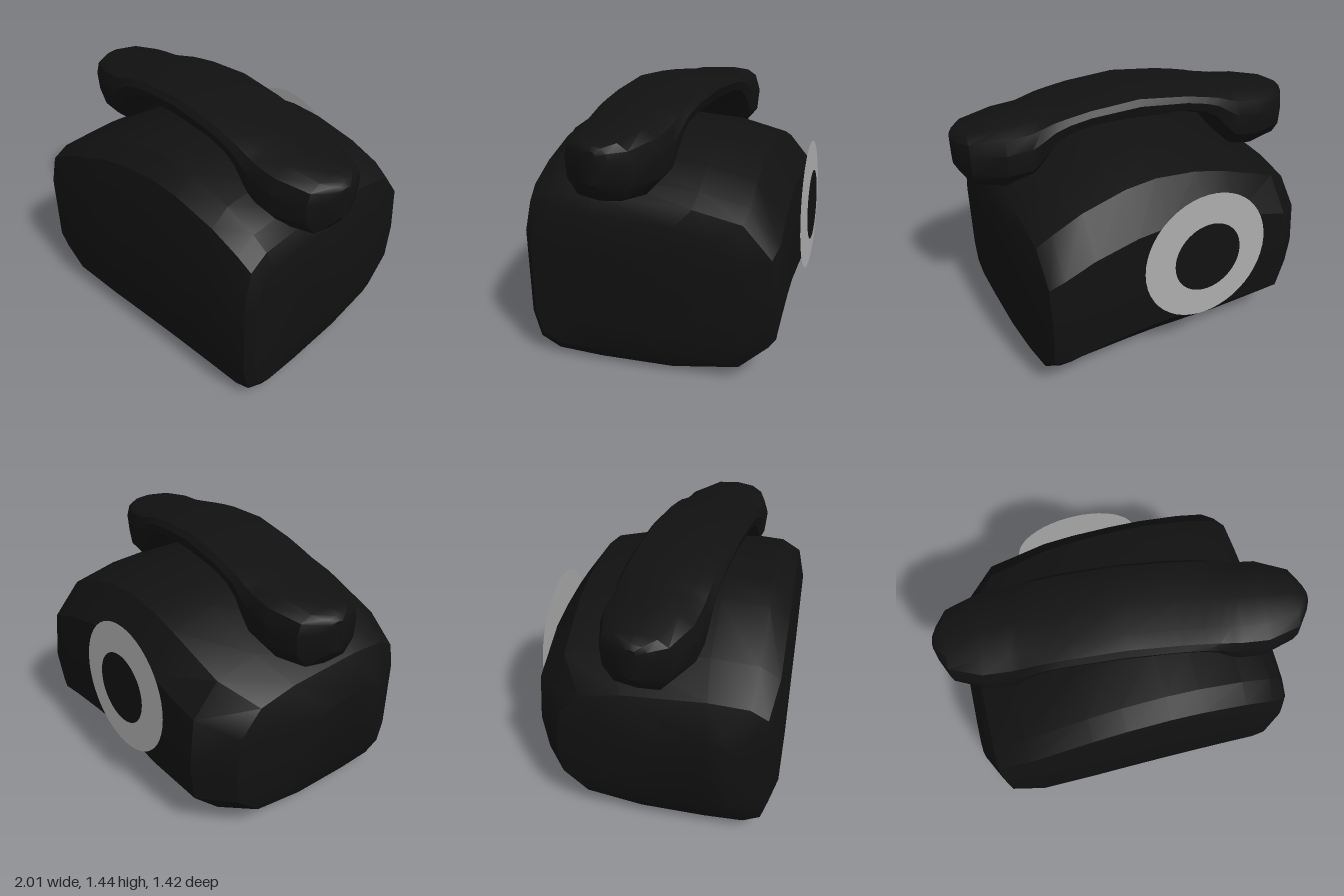
import * as THREE from 'three';
import { toCreasedNormals } from 'three/addons/utils/BufferGeometryUtils.js';

// Loft along x: profile is [z in -1..1, y in 0..1], stations are [x, y0, y1, z0, z1]
function loft(profile, stations) {
  const n = profile.length, pos = [], idx = [];
  for (const [x, y0, y1, z0, z1] of stations) {
    for (const [w, v] of profile) {
      pos.push(x, y0 + (y1 - y0) * v, (z0 + z1) / 2 + (w * (z1 - z0)) / 2);
    }
  }
  for (let i = 0; i < stations.length - 1; i++) {
    for (let j = 0; j < n; j++) {
      const a = i * n + j, b = i * n + ((j + 1) % n);
      idx.push(a, b, a + n, b, b + n, a + n);
    }
  }
  // closed ends
  const last = (stations.length - 1) * n;
  for (let j = 1; j < n - 1; j++) {
    idx.push(0, j + 1, j);
    idx.push(last, last + j, last + j + 1);
  }
  const g = new THREE.BufferGeometry();
  g.setAttribute('position', new THREE.Float32BufferAttribute(pos, 3));
  g.setIndex(idx);
  return toCreasedNormals(g, 0.5);
}

export function createModel() {
  const black = new THREE.MeshStandardMaterial({ color: 0x111111, side: THREE.DoubleSide });
  black.name = 'black';
  const grey = new THREE.MeshStandardMaterial({ color: 0xaaaaaa, side: THREE.DoubleSide });
  grey.name = 'grey';

  const model = new THREE.Group();
  model.name = 'telephone';
  const add = (name, geometry, material, parent = model) => {
    const mesh = new THREE.Mesh(geometry, material);
    mesh.name = name;
    parent.add(mesh);
    return mesh;
  };

  // Body: rounded, domed block, softer on its right side and back
  const bodyProfile = [
    [0.41, 1], [0.78, 0.985], [0.94, 0.92], [1, 0.74], [1, 0.45], [1, 0.23],
    [0.94, 0.07], [0.78, 0.01], [0.41, 0], [-0.2, 0.01], [-0.73, 0.075],
    [-0.96, 0.23], [-1, 0.45], [-0.96, 0.74], [-0.74, 0.915], [-0.36, 0.97],
  ];
  add('body', loft(bodyProfile, [
    [-0.925, 0.25, 0.7, -0.12, 0.5],
    [-0.84, 0.08, 0.89, -0.5, 0.665],
    [-0.65, 0.015, 1.025, -0.655, 0.705],
    [-0.3, 0, 1.165, -0.675, 0.71],
    [-0.12, 0, 1.21, -0.67, 0.71],
    [0.12, 0, 1.23, -0.665, 0.71],
    [0.3, 0, 1.21, -0.668, 0.71],
    [0.55, 0, 1.135, -0.675, 0.71],
    [0.72, 0, 1.05, -0.68, 0.71],
    [0.8, 0.02, 0.98, -0.655, 0.7],
    [0.84, 0.08, 0.88, -0.5, 0.66],
    [0.855, 0.25, 0.7, -0.2, 0.5],
  ]), black);

  // Handset: arched grip with a deep cup at each end, lying slightly askew
  const half = [[0.6, 0.97], [0.9, 0.86], [1, 0.65], [0.95, 0.3], [0.65, 0.05]];
  const handsetProfile = [
    [0, 1], ...half, [0, 0], ...half.map(([w, v]) => [-w, v]).reverse(),
  ];
  // [distance from middle, underside, top, half width]
  const reach = [
    [0.28, 1.27, 1.41, 0.26], [0.4, 1.24, 1.39, 0.26], [0.48, 1.18, 1.38, 0.26],
    [0.55, 1.07, 1.37, 0.26], [0.61, 0.99, 1.36, 0.258], [0.75, 0.975, 1.345, 0.255],
    [0.93, 1.0, 1.315, 0.185], [0.985, 1.07, 1.295, 0.09], [1.005, 1.1, 1.275, 0.04],
  ];
  const station = (side) => ([s, y0, y1, w]) => [side * s, y0, y1, -w, w];
  const handset = add('handset', loft(handsetProfile, [
    ...reach.map(station(-1)).reverse(),
    [0, 1.275, 1.44, -0.26, 0.26],
    ...reach.map(station(1)),
  ]), black);
  handset.position.z = 0.1;
  handset.rotation.y = -0.12;

  // Dial: two flat discs on the back, leaning a little upward
  const dial = new THREE.Group();
  dial.name = 'dial';
  dial.position.set(-0.09, 0.69, -0.69);
  dial.rotation.x = Math.PI + 0.04;
  add('dialRing', new THREE.CircleGeometry(0.378, 48), grey, dial);
  add('dialCentre', new THREE.CircleGeometry(0.205, 48), black, dial).position.z = 0.015;
  model.add(dial);

  return model;
}
